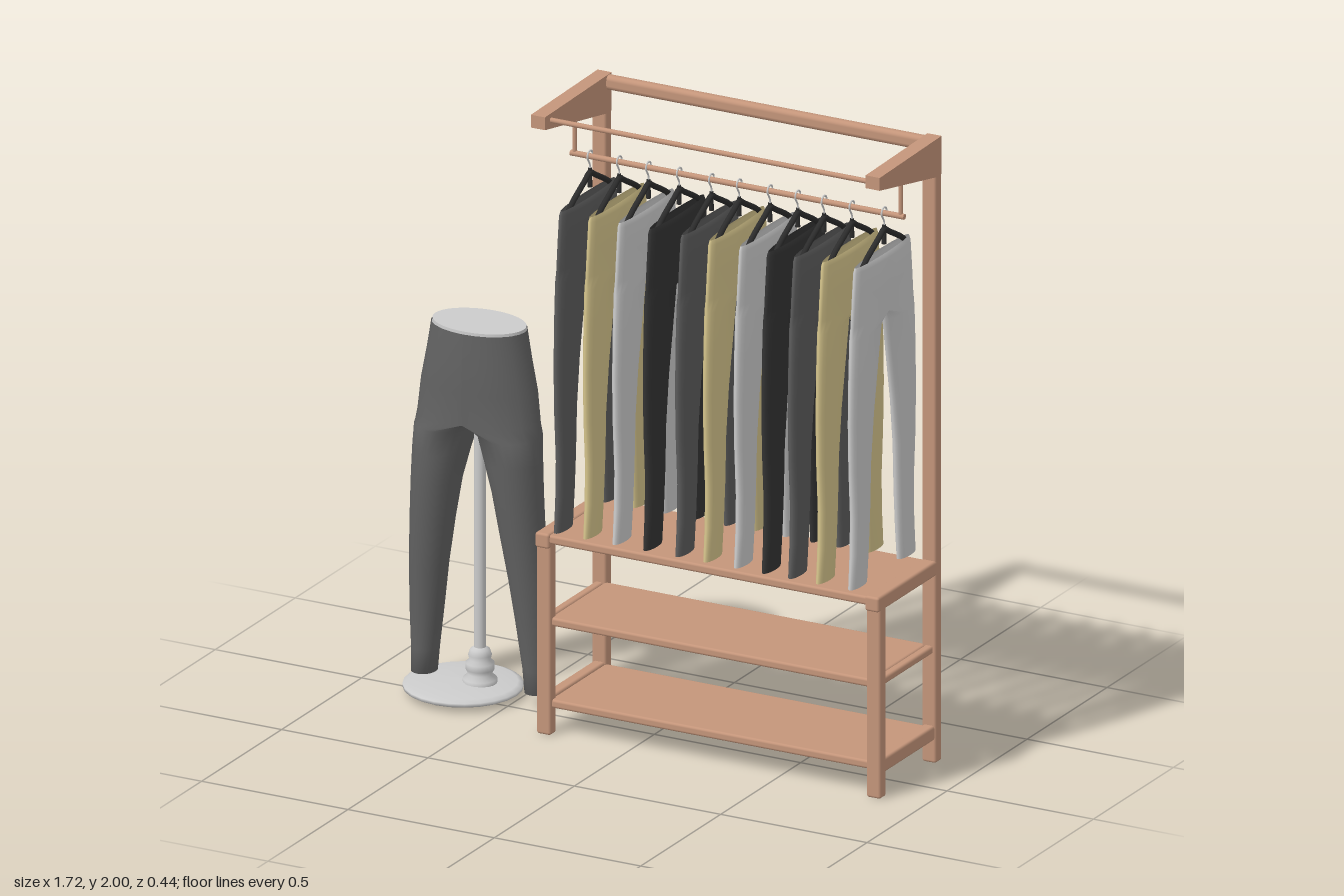
import * as THREE from 'three';
import { RoundedBoxGeometry } from 'three/addons/geometries/RoundedBoxGeometry.js';

const mat = (color, side = THREE.FrontSide) => new THREE.MeshStandardMaterial({ color, side });
const wood = mat(0xc4957a);
const grey = mat(0xcccccc);
const black = mat(0x2c2c2c);
const cloths = [0x5c5c5c, 0xd6c58c, 0xcccccc, 0x333333].map((c) => mat(c, THREE.DoubleSide));

function add(parent, name, geometry, material, x = 0, y = 0, z = 0) {
  const mesh = new THREE.Mesh(geometry, material);
  mesh.name = name;
  mesh.position.set(x, y, z);
  parent.add(mesh);
  return mesh;
}

// Rounded bar given by its minimum and maximum corners
function bar(parent, name, a, b, radius = 0.008) {
  const s = b.map((v, i) => v - a[i]);
  const g = new RoundedBoxGeometry(s[0], s[1], s[2], 2, radius);
  return add(parent, name, g, wood, ...a.map((v, i) => (v + b[i]) / 2));
}

function rodX(parent, name, x0, x1, y, z, r) {
  const g = new THREE.CylinderGeometry(r, r, x1 - x0, 12).rotateZ(Math.PI / 2);
  return add(parent, name, g, wood, (x0 + x1) / 2, y, z);
}

// Trousers lofted from rows [y, inner, outer, halfDepth, depthOffset];
// inner = 0 means both halves are joined at the middle.
function trousers(rows) {
  const N = 24, pos = [], idx = [];
  for (const s of [1, -1]) {
    const base = pos.length / 3;
    rows.forEach(([y, inner, outer, d, dz = 0]) => {
      const c = inner ? (inner + outer) / 2 : 0;
      for (let j = 0; j < N; j++) {
        const t = (j / N) * Math.PI * 2;
        const cos = Math.cos(t);
        const u = c + cos * (cos > 0 ? outer - c : c - inner);
        pos.push(s * u, y, dz + d * Math.sin(t));
      }
    });
    for (let i = 0; i < rows.length - 1; i++) {
      for (let j = 0; j < N; j++) {
        // no wall inside the joined seat
        if (!rows[i + 1][1] && j >= N / 4 && j < (3 * N) / 4) continue;
        const k = (j + 1) % N;
        const a = base + i * N + j, b = base + i * N + k, e = a + N, f = b + N;
        if (s > 0) idx.push(a, b, e, b, f, e);
        else idx.push(a, e, b, b, e, f);
      }
    }
  }
  const g = new THREE.BufferGeometry();
  g.setAttribute('position', new THREE.Float32BufferAttribute(pos, 3));
  g.setIndex(idx);
  g.computeVertexNormals();
  return g;
}

function makeRack() {
  const rack = new THREE.Group();
  rack.name = 'clothesRack';
  const L = -0.315, R = 0.86, W = 0.048;

  // Posts, side rails and top arms
  [[L, 0.195], [R - W, 0.165]].forEach(([x, reach]) => {
    bar(rack, 'backPost', [x, 0, -0.225], [x + W, 1.99, -0.185]);
    bar(rack, 'frontPost', [x, 0, 0.122], [x + W, 0.62, 0.162]);
    bar(rack, 'topSideRail', [x, 0.6, -0.2], [x + W, 0.648, 0.172]);
    bar(rack, 'middleSideRail', [x + 0.01, 0.35, -0.2], [x + W - 0.01, 0.375, 0.14]);
    bar(rack, 'lowerSideRail', [x + 0.005, 0.073, -0.2], [x + W - 0.005, 0.12, 0.155]);

    const arm = new THREE.Shape([
      [-0.222, 2], [reach, 1.993], [reach, 1.952], [-0.19, 1.878], [-0.222, 1.878],
    ].map((p) => new THREE.Vector2(...p)));
    const g = new THREE.ExtrudeGeometry(arm, { depth: W, bevelEnabled: false });
    add(rack, 'topArm', g.rotateY(-Math.PI / 2), wood, x + W);
  });

  // Shelves
  bar(rack, 'topShelf', [L + 0.01, 0.615, -0.2], [R - 0.01, 0.643, 0.165]);
  bar(rack, 'middleShelf', [L + W - 0.01, 0.347, -0.2], [R - W + 0.01, 0.374, 0.15]);
  bar(rack, 'lowerShelf', [L + W - 0.01, 0.085, -0.2], [R - W + 0.01, 0.112, 0.15]);

  // Upper beam and front stay
  bar(rack, 'upperBeam', [L, 1.952, -0.222], [R, 1.998, -0.188], 0.015);
  rodX(rack, 'frontStay', L + 0.02, R - 0.02, 1.972, 0.157, 0.008);

  // Hanging rail on two drop rods
  rodX(rack, 'hangingRail', -0.285, 0.855, 1.813, 0, 0.009);
  for (const x of [-0.272, 0.842]) {
    add(rack, 'dropRod', new THREE.CylinderGeometry(0.007, 0.007, 0.11, 10), wood, x, 1.863, 0);
  }
  return rack;
}

function makeHangingTrousers() {
  const all = new THREE.Group();
  all.name = 'hangingTrousers';
  const cloth = trousers([
    [1.695, 0, 0.168, 0.016], [1.68, 0, 0.174, 0.024], [1.6, 0, 0.182, 0.026],
    [1.51, 0, 0.191, 0.025], [1.47, 0.012, 0.194, 0.024], [1.35, 0.033, 0.2, 0.023],
    [1.2, 0.06, 0.203, 0.022], [1.05, 0.078, 0.198, 0.021], [0.9, 0.084, 0.188, 0.02],
    [0.78, 0.092, 0.192, 0.019], [0.675, 0.1, 0.203, 0.016],
  ]).rotateY(Math.PI / 2);

  // Hanger shoulders and wire hook, in the plane across the rail
  const v = (z, y) => new THREE.Vector3(0, y, z);
  const shoulders = new THREE.TubeGeometry(new THREE.CatmullRomCurve3([
    v(-0.135, 1.68), v(-0.11, 1.7), v(-0.03, 1.745), v(0, 1.762), v(0.03, 1.745), v(0.11, 1.7), v(0.135, 1.68),
  ]), 24, 0.009, 8);
  const hookPoints = [v(0, 1.755), v(0, 1.785)];
  for (let i = 0; i <= 6; i++) {
    const t = -0.9 + (i / 6) * 4.2;
    hookPoints.push(v(0.016 * Math.cos(t), 1.815 + 0.016 * Math.sin(t)));
  }
  const hook = new THREE.TubeGeometry(new THREE.CatmullRomCurve3(hookPoints), 30, 0.003, 6);
  const neck = new THREE.CylinderGeometry(0.006, 0.008, 0.06, 8);

  const xs = [-0.22, -0.12, -0.02, 0.085, 0.195, 0.29, 0.395, 0.49, 0.58, 0.675, 0.785];
  xs.forEach((x, i) => {
    const item = new THREE.Group();
    item.name = 'trousersOnHanger';
    item.position.x = x;
    add(item, 'trousers', cloth, cloths[i % 4], 0, 0, 0.014);
    add(item, 'hangerShoulders', shoulders, black);
    add(item, 'hangerNeck', neck, black, 0, 1.745, 0);
    add(item, 'hangerHook', hook, grey);
    all.add(item);
  });
  return all;
}

function makeMannequin() {
  const m = new THREE.Group();
  m.name = 'legMannequin';
  m.position.x = -0.62;

  // Body, closed at the ankles
  add(m, 'trouserLegs', trousers([
    [1.19, 0, 0.155, 0.105, -0.042], [1.1, 0, 0.17, 0.112, -0.042], [1, 0, 0.19, 0.115, -0.042],
    [0.9, 0, 0.202, 0.11, -0.04], [0.86, 0.01, 0.205, 0.103, -0.035], [0.78, 0.035, 0.21, 0.094, -0.03],
    [0.68, 0.062, 0.215, 0.084, -0.028], [0.55, 0.085, 0.222, 0.073, -0.03], [0.4, 0.11, 0.23, 0.063, -0.038],
    [0.25, 0.13, 0.234, 0.054, -0.047], [0.12, 0.148, 0.232, 0.048, -0.052], [0.045, 0.155, 0.233, 0.046, -0.052],
    [0.044, 0.193, 0.194, 0, -0.052],
  ]), mat(0x626262, THREE.DoubleSide));
  add(m, 'waistCap', new THREE.CylinderGeometry(0.151, 0.154, 0.03, 40), grey, 0, 1.183, -0.042).scale.z = 0.67;

  // Stand: round foot, turned collar and pole
  const lathe = (pts, n) => new THREE.LatheGeometry(pts.map((p) => new THREE.Vector2(...p)), n);
  add(m, 'standFoot', lathe([
    [0, 0.014], [0.17, 0.014], [0.182, 0.02], [0.182, 0.03], [0.165, 0.037], [0.09, 0.043], [0, 0.046],
  ], 24), grey, -0.055, 0, -0.04);
  add(m, 'standCollar', lathe([
    [0.052, 0.04], [0.052, 0.055], [0.036, 0.07], [0.044, 0.085], [0.044, 0.105],
    [0.032, 0.115], [0.036, 0.13], [0.03, 0.148], [0.018, 0.155],
  ], 24), grey, 0, 0, -0.045);
  add(m, 'standPole', new THREE.CylinderGeometry(0.018, 0.018, 0.86, 16), grey, 0, 0.53, -0.045);
  return m;
}

export function createModel() {
  const model = new THREE.Group();
  model.name = 'trouserDisplay';
  model.add(makeRack(), makeHangingTrousers(), makeMannequin());
  return model;
}
